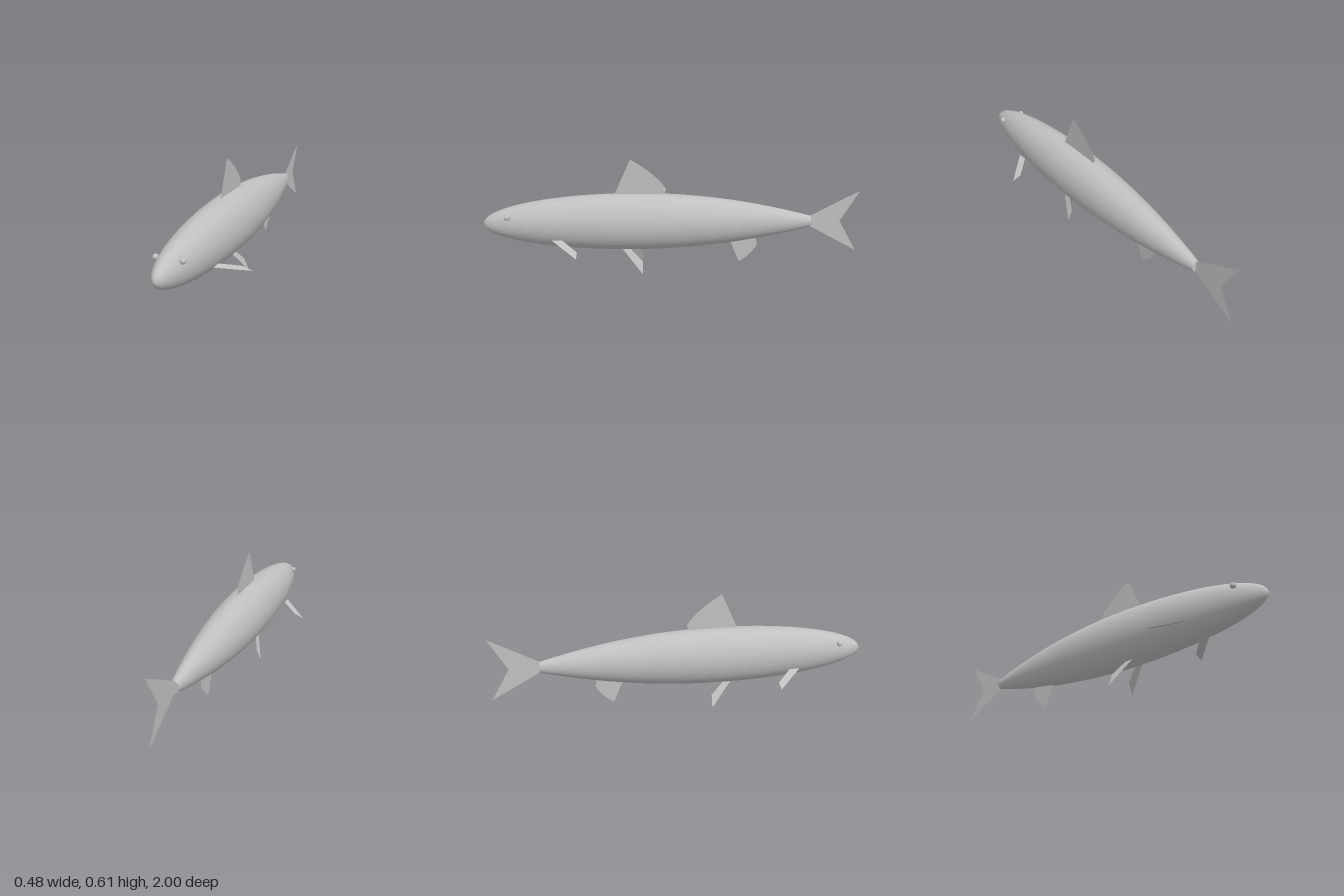
import * as THREE from 'three';

const grey = new THREE.MeshStandardMaterial({ color: 0xc0c0c0, side: THREE.DoubleSide });
grey.name = 'silver grey';

const TAIL_Z = -0.745, MID_Z = 0.2, WIDTH = 0.12, HEIGHT = 0.153;

function addMesh(group, name, geometry) {
  const mesh = new THREE.Mesh(geometry, grey);
  mesh.name = name;
  group.add(mesh);
  return mesh;
}

// Relative girth: elliptical head, parabolic taper to the tail
function girth(z) {
  const t = z > MID_Z ? (z - MID_Z) / (1 - MID_Z) : (MID_Z - z) / (MID_Z - TAIL_Z);
  return z > MID_Z ? Math.sqrt(Math.max(0, 1 - t * t)) : 1 - 0.81 * t * t;
}

function bodyGeometry() {
  const profile = [];
  for (let i = 0; i <= 24; i++) {
    const z = TAIL_Z + (MID_Z - TAIL_Z) * i / 24;
    profile.push(new THREE.Vector2(girth(z), z));
  }
  for (let i = 1; i <= 24; i++) {
    const z = MID_Z + (1 - MID_Z) * Math.sin(i / 24 * Math.PI / 2);
    profile.push(new THREE.Vector2(i === 24 ? 0 : girth(z), z));
  }
  const geo = new THREE.LatheGeometry(profile, 64);
  geo.rotateX(Math.PI / 2).scale(WIDTH, HEIGHT, 1);
  // Centre line rises slightly where the body is deepest
  const p = geo.attributes.position;
  for (let i = 0; i < p.count; i++) p.setY(i, p.getY(i) + 0.261 + 0.008 * girth(p.getZ(i)));
  return geo;
}

// Upright fin in the plane x = 0, drawn in (z, y)
function uprightFin(draw) {
  const shape = new THREE.Shape();
  draw(shape);
  return new THREE.ShapeGeometry(shape, 16).rotateY(-Math.PI / 2);
}

// Flat four-cornered fin
function quadFin(corners) {
  const geo = new THREE.BufferGeometry();
  geo.setAttribute('position', new THREE.Float32BufferAttribute(corners.flat(), 3));
  geo.setIndex([0, 1, 2, 0, 2, 3]);
  geo.computeVertexNormals();
  return geo;
}

export function createModel() {
  const fish = new THREE.Group();
  fish.name = 'fish';

  addMesh(fish, 'body', bodyGeometry());
  const stub = addMesh(fish, 'tailStub', new THREE.CircleGeometry(1, 64).rotateY(Math.PI));
  const r = girth(TAIL_Z);
  stub.scale.set(WIDTH * r, HEIGHT * r, 1);
  stub.position.set(0, 0.261 + 0.008 * r, TAIL_Z);

  addMesh(fish, 'dorsalFin', uprightFin(s => {
    s.moveTo(0.31, 0.40);
    s.lineTo(0.217, 0.608);
    s.bezierCurveTo(0.14, 0.565, 0.06, 0.50, 0.03, 0.447);
    s.lineTo(0.043, 0.40);
  }));

  addMesh(fish, 'analFin', uprightFin(s => {
    s.moveTo(-0.305, 0.18);
    s.lineTo(-0.367, 0.032);
    s.bezierCurveTo(-0.41, 0.055, -0.45, 0.10, -0.463, 0.135);
    s.lineTo(-0.45, 0.18);
  }));

  addMesh(fish, 'tailFin', uprightFin(s => {
    s.moveTo(-0.742, 0.293);
    s.lineTo(-1, 0.43);
    s.lineTo(-0.903, 0.262);
    s.lineTo(-1, 0.093);
    s.lineTo(-0.742, 0.235);
  }));

  // Paired fins and eyes
  for (const [side, label] of [[1, 'left'], [-1, 'right']]) {
    const mirror = pts => pts.map(([x, y, z]) => [x * side, y, z]);
    addMesh(fish, label + 'PectoralFin', quadFin(mirror([
      [0.10, 0.20, 0.63], [0.24, 0.15, 0.49], [0.19, 0.168, 0.49], [0.10, 0.20, 0.575],
    ])));
    addMesh(fish, label + 'PelvicFin', quadFin(mirror([
      [0.038, 0.135, 0.27], [0.095, 0, 0.155], [0.068, 0.064, 0.155], [0.038, 0.135, 0.23],
    ])));
    const eye = addMesh(fish, label + 'Eye', new THREE.SphereGeometry(0.015, 20, 14));
    eye.position.set(0.064 * side, 0.315, 0.862);
  }
  return fish;
}
